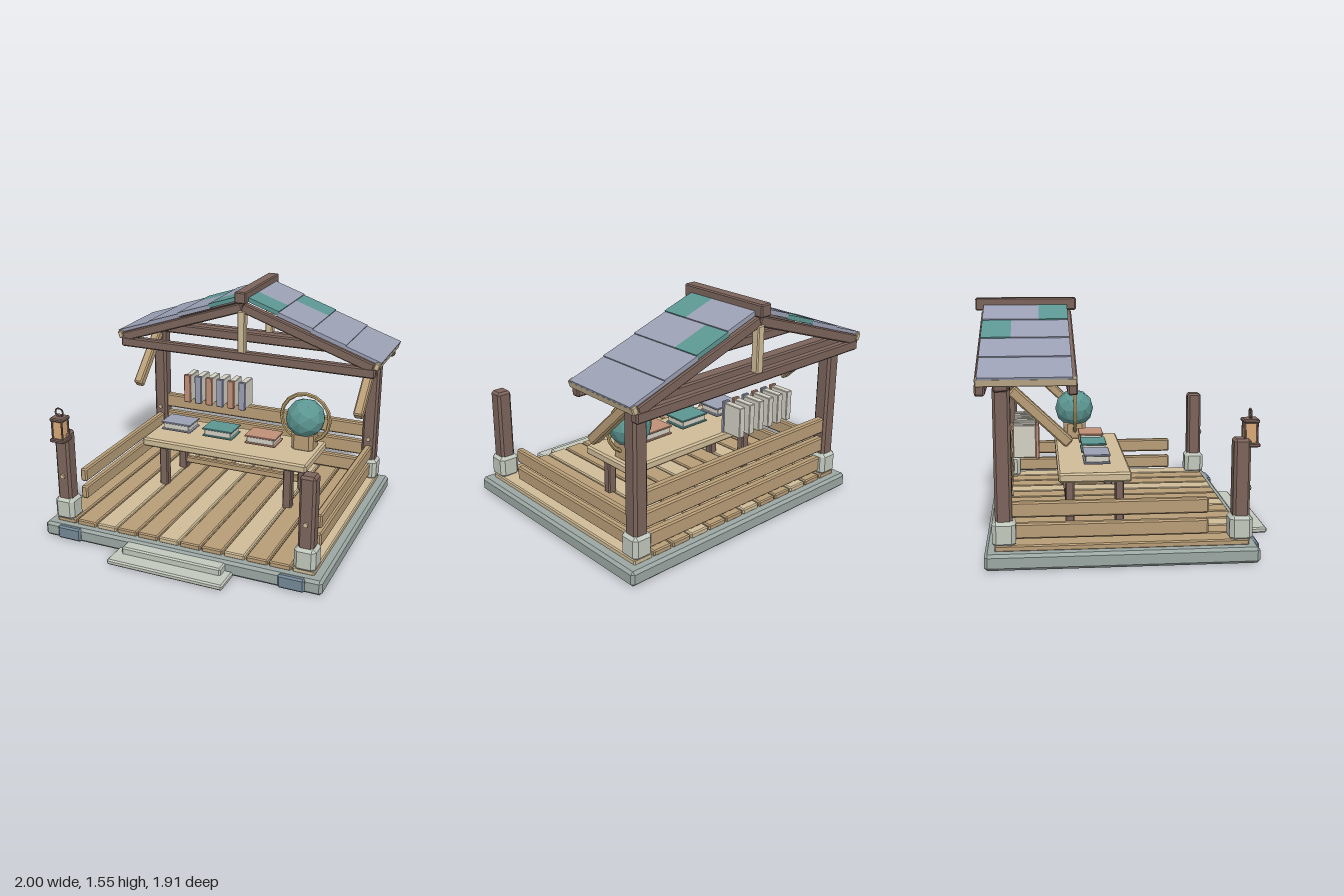
import * as THREE from 'three';
import { ConvexGeometry } from 'three/addons/geometries/ConvexGeometry.js';

const mats = {};
const mat = (c) => (mats[c] ??= new THREE.MeshStandardMaterial({ color: c, flatShading: true }));

const DARK = 0x7b645b, TAN = 0xb89d77, PALE = 0xcfbb97, SLAB = 0x9ba7a3, STONE = 0xc1c8bd,
  SLATE = 0x9a9fb3, TEAL = 0x5c9692, BLUE = 0x748896, RED = 0xbf8f78, PAPER = 0xd3d0c4, BRASS = 0xb9a06c;

// Box with chamfered edges, centred on its origin
function bevelBox(w, h, d, b) {
  b = Math.min(b, w * 0.3, h * 0.3, d * 0.3);
  const pts = [];
  for (const x of [-1, 1]) for (const y of [-1, 1]) for (const z of [-1, 1])
    for (let k = 0; k < 3; k++)
      pts.push(new THREE.Vector3(
        x * (w / 2 - (k === 0 ? 0 : b)), y * (h / 2 - (k === 1 ? 0 : b)), z * (d / 2 - (k === 2 ? 0 : b))));
  return new ConvexGeometry(pts);
}

export function createModel() {
  const root = new THREE.Group();
  root.name = 'pavilion';

  const add = (name, geo, color, x = 0, y = 0, z = 0, parent = root) => {
    const m = new THREE.Mesh(geo, mat(color));
    m.name = name;
    m.position.set(x, y, z);
    parent.add(m);
    return m;
  };
  // Chamfered block given by its extents
  const block = (name, color, [x0, x1], [y0, y1], [z0, z1], b = 0.01, parent = root) =>
    add(name, bevelBox(x1 - x0, y1 - y0, z1 - z0, b), color,
      (x0 + x1) / 2, (y0 + y1) / 2, (z0 + z1) / 2, parent);
  const around = (c, size) => [c - size / 2, c + size / 2];
  const group = (name) => {
    const g = new THREE.Group();
    g.name = name;
    root.add(g);
    return g;
  };

  // Foundation and steps
  block('foundation', SLAB, [-0.985, 0.985], [0.01, 0.11], [-0.885, 0.772], 0.018);
  block('upperStep', STONE, [-0.35, 0.35], [0.03, 0.095], [0.74, 0.85]);
  block('lowerStep', STONE, [-0.405, 0.405], [0.01, 0.048], [0.77, 0.955]);
  for (const s of [-1, 1])
    block('cornerStone', BLUE, around(s * 0.79, 0.175), [0.015, 0.108], [0.74, 0.787], 0.012);

  // Floor planks
  const floor = group('floor');
  for (let i = 0; i < 12; i++)
    block('floorPlank', i % 3 === 2 ? PALE : TAN, around((i - 5.5) * 0.154, 0.143),
      [0.105, 0.145], [-0.825, 0.715], 0.008, floor);

  // Posts with stone footings and pegs
  for (const s of [-1, 1]) for (const [z, top] of [[0.665, 0.762], [-0.768, 1.1]]) {
    block('post', DARK, around(s * 0.853, 0.103), [0.2, top], around(z, 0.103), 0.016);
    block('footing', STONE, around(s * 0.853, 0.142), [0.13, 0.293], around(z, 0.142), 0.025);
    const peg = add('peg', new THREE.CylinderGeometry(0.016, 0.016, 0.02, 8), PALE, s * 0.853, 0.45, z + 0.054);
    peg.rotation.x = Math.PI / 2;
  }

  // Side and back rails
  for (const s of [-1, 1]) for (const y of [0.218, 0.35])
    block('sideRail', TAN, around(s * 0.853, 0.05), around(y, 0.096), [-0.73, 0.47]);
  for (const y of [0.213, 0.358, 0.5])
    block('backRail', TAN, [-0.82, 0.82], around(y, 0.108), [-0.8, -0.745]);

  // Table
  const table = group('table');
  block('tableTop', PALE, [-0.62, 0.62], [0.44, 0.502], [-0.435, 0.028], 0.012, table);
  for (const x of [-0.475, 0.475]) for (const z of [-0.042, -0.36])
    block('tableLeg', DARK, around(x, 0.064), [0.13, 0.45], around(z, 0.058), 0.008, table);
  block('tableStretcher', TAN, [-0.46, 0.46], [0.185, 0.235], [-0.38, -0.34], 0.008, table);

  // Books lying above the table
  [[-0.415, SLATE], [-0.09, TEAL], [0.235, RED]].forEach(([x, color]) => {
    const book = group('flatBook');
    for (const y of [0.541, 0.592])
      block('cover', color, around(x, 0.23), around(y, 0.011), [-0.27, -0.1], 0.003, book);
    block('pages', PAPER, around(x, 0.2), [0.546, 0.587], [-0.26, -0.107], 0.003, book);
  });

  // Upright row of books
  for (let i = 0; i < 6; i++) {
    const x = -0.535 + i * 0.0898, book = group('uprightBook');
    block('spine', i % 2 ? SLATE : RED, around(x, 0.055), [0.588, 0.81], [-0.573, -0.548], 0.005, book);
    block('pages', PAPER, around(x, 0.048), [0.595, 0.802], [-0.712, -0.57], 0.004, book);
  }

  // Globe on a stump with a brass ring
  const globe = group('globe');
  block('globeStand', TAN, around(0.503, 0.16), [0.48, 0.64], around(-0.288, 0.16), 0.026, globe);
  add('globeBall', new THREE.IcosahedronGeometry(0.14, 1), TEAL, 0.503, 0.718, -0.288, globe);
  add('globeRing', new THREE.TorusGeometry(0.176, 0.014, 6, 16), BRASS, 0.503, 0.718, -0.288, globe);

  // Lantern on the right front post
  const lantern = group('lantern');
  lantern.position.set(-0.848, 0, 0.717);
  block('lanternBase', DARK, [-0.054, 0.054], [0.71, 0.735], [-0.054, 0.054], 0.006, lantern);
  block('lanternGlass', 0xd9a878, [-0.035, 0.035], [0.73, 0.86], [-0.035, 0.035], 0.004, lantern);
  block('lanternCap', DARK, [-0.05, 0.05], [0.855, 0.88], [-0.05, 0.05], 0.008, lantern);
  for (const x of [-0.037, 0.037]) for (const z of [-0.037, 0.037])
    block('lanternBar', DARK, around(x, 0.011), [0.73, 0.86], around(z, 0.011), 0.002, lantern);
  add('lanternRing', new THREE.TorusGeometry(0.029, 0.006, 5, 10), DARK, 0, 0.908, 0, lantern);

  // Gable trusses
  const roof = group('roof');
  const slope = 0.339, pitch = Math.atan(slope), rise = Math.cos(pitch);
  for (const [z, out] of [[-0.352, 1], [-0.887, -1]]) {
    block('tieBeam', DARK, [-0.965, 0.965], [1.052, 1.125], around(z, 0.06), 0.01, roof);
    block('kingPost', PALE, [-0.028, 0.028], [1.115, 1.42], around(z + out * 0.008, 0.055), 0.007, roof);
    for (const s of [-1, 1]) {
      const rafter = add('rafter', bevelBox(0.95 / rise, 0.068, 0.056, 0.008), DARK,
        s * 0.475, 1.445 - slope * 0.475, z, roof);
      rafter.rotation.z = -s * pitch;
    }
  }
  block('wallPlate', DARK, [-0.93, 0.93], [1.07, 1.145], around(-0.768, 0.09), 0.01, roof);
  block('ridgeBeam', DARK, [-0.042, 0.042], [1.478, 1.56], [-0.955, -0.292], 0.008, roof);

  // Stepped roof courses with patched ends, eaves and braces
  for (const s of [-1, 1]) {
    const edges = [0.993, 0.743, 0.503, 0.257, 0.008];
    for (let i = 0; i < 4; i++) {
      const mid = (edges[i] + edges[i + 1]) / 2, len = (edges[i] - edges[i + 1]) / rise + 0.006;
      const parts = [[[-0.9, -0.352], SLATE]];
      if (i === 2) parts.splice(0, 1, [[-0.9, -0.715], TEAL], [[-0.715, -0.352], SLATE]);
      if (i === 3) parts.splice(0, 1, [[-0.9, -0.54], SLATE], [[-0.54, -0.352], TEAL]);
      for (const [[z0, z1], color] of parts) {
        const tile = add('roofCourse', new THREE.BoxGeometry(len, 0.03, z1 - z0), color,
          s * mid, 1.488 - slope * mid + i * 0.008, (z0 + z1) / 2, roof);
        tile.rotation.z = -s * pitch;
      }
    }
    const eave = add('eaveBoard', bevelBox(0.038, 0.052, 0.586, 0.006), PALE, s * 0.972, 1.138, -0.62, roof);
    eave.rotation.z = -s * pitch;
    const brace = add('brace', bevelBox(0.068, 0.066, 0.47, 0.01), TAN, s * 0.855, 0.912, -0.54, roof);
    brace.rotation.x = Math.atan2(0.32, 0.335);
  }
  return root;
}
